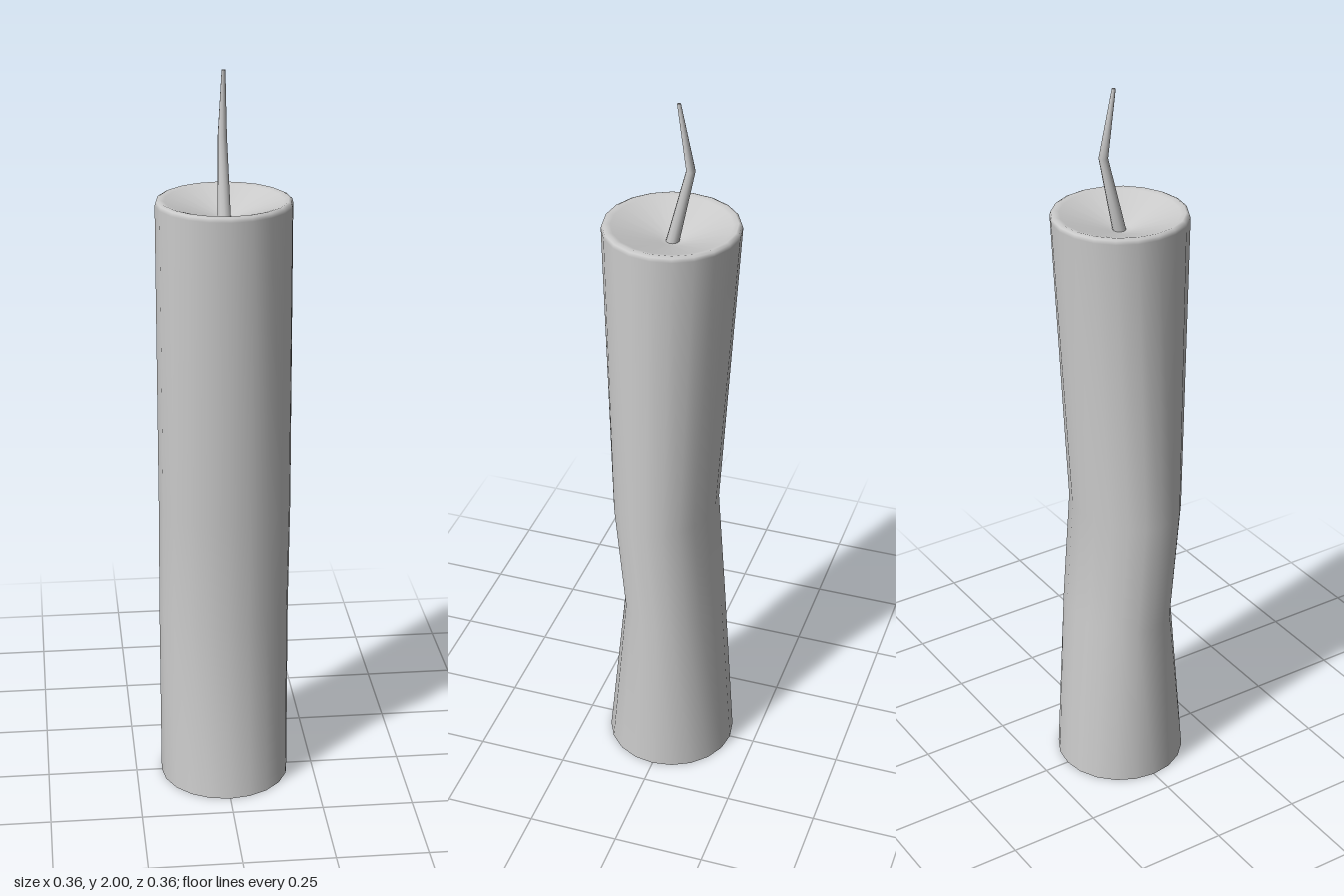
import * as THREE from 'three';
import { mergeVertices } from 'three/addons/utils/BufferGeometryUtils.js';

const material = new THREE.MeshStandardMaterial({ color: 0xcccccc });

// Lathe whose rows [radius, y, zShift, zScale] may be moved and squashed in z
function bentLathe(rows, sides) {
  const geo = new THREE.LatheGeometry(rows.map(([r, y]) => new THREE.Vector2(r, y)), sides);
  const pos = geo.attributes.position;
  for (let i = 0; i < pos.count; i++) {
    const [, , shift = 0, scale = 1] = rows[i % rows.length];
    pos.setZ(i, pos.getZ(i) * scale + shift);
  }
  // weld the seam so the shading stays smooth
  geo.deleteAttribute('uv');
  geo.deleteAttribute('normal');
  const welded = mergeVertices(geo, 1e-5);
  welded.computeVertexNormals();
  return welded;
}

function addPart(group, name, geometry) {
  const mesh = new THREE.Mesh(geometry, material);
  mesh.name = name;
  group.add(mesh);
  return mesh;
}

export function createModel() {
  const group = new THREE.Group();
  group.name = 'candle';

  // wax body: softly bent shaft, rounded rim and melted hollow
  addPart(group, 'waxBody', bentLathe([
    [0.179, 0],
    [0.179, 0.5, -0.01, 0.76],
    [0.179, 0.82, 0.016, 0.785],
    [0.179, 1.658],
    [0.176, 1.668],
    [0.168, 1.672],
    [0.155, 1.668],
    [0.03, 1.625],
    [0, 1.62],
  ], 20));

  // flat underside
  const base = addPart(group, 'base', new THREE.CircleGeometry(0.179, 20, Math.PI / 2));
  base.rotation.x = Math.PI / 2;

  // wick: tapers, leans back, then kinks forward
  addPart(group, 'wick', bentLathe([
    [0.018, 1.61, 0.001],
    [0.012, 1.825, -0.049],
    [0.005, 2, -0.018],
    [0, 2, -0.018],
  ], 10));

  return group;
}
